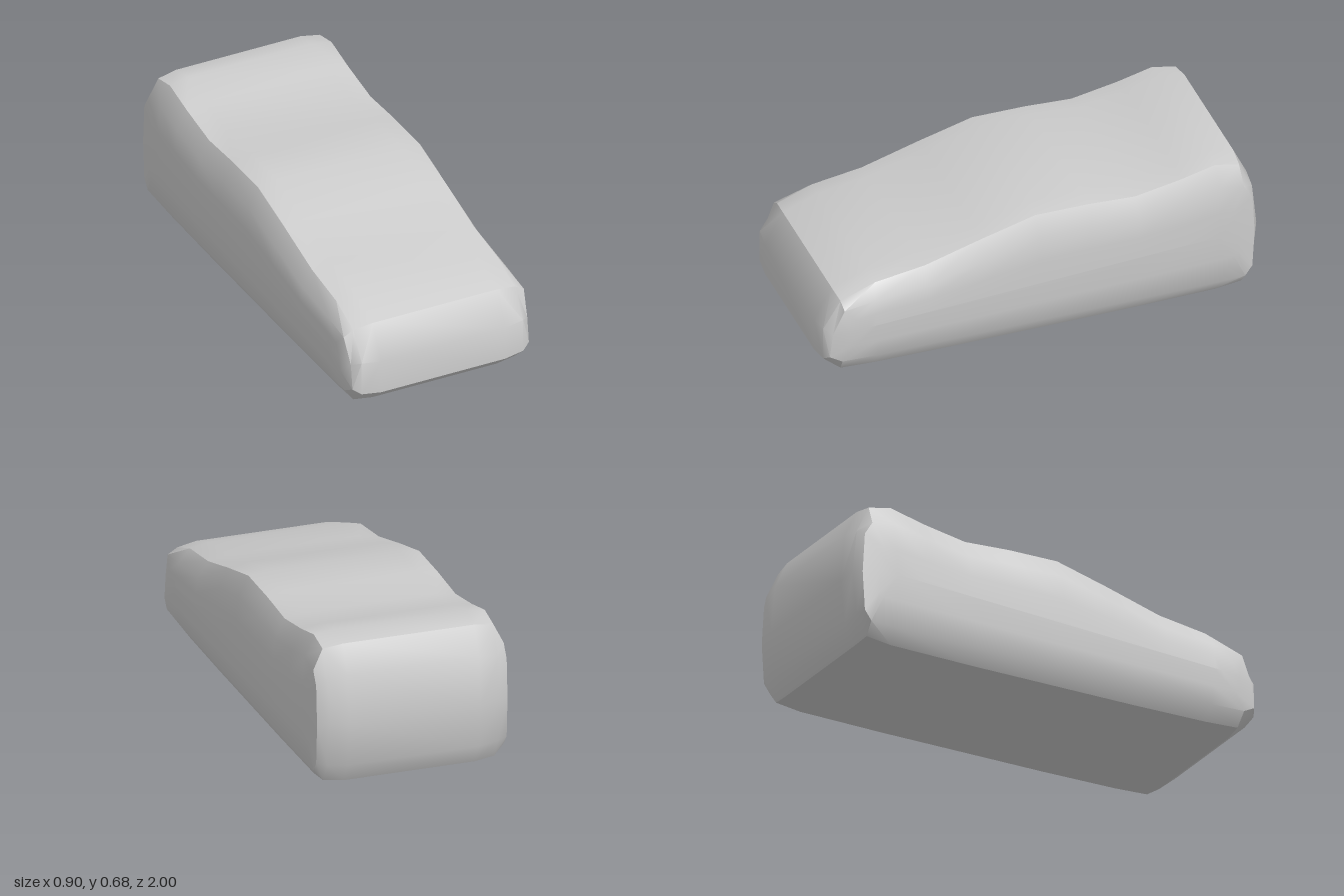
import * as THREE from 'three';
import { toCreasedNormals } from 'three/addons/utils/BufferGeometryUtils.js';

// Side profile, nose -> roof -> tail -> floor.
// Each row: z, y at the centre of the body, then z, y where it rounds into the flank.
const PROFILE = [
  [1, 0.08, 0.975, 0.115], [1, 0.235, 0.96, 0.23], [0.92, 0.385, 0.91, 0.345],
  [0.76, 0.445, 0.77, 0.365], [0.53, 0.478, 0.53, 0.385], [0.27, 0.552, 0.27, 0.45],
  [0.02, 0.617, 0.02, 0.512], [-0.22, 0.615, -0.22, 0.512], [-0.44, 0.603, -0.44, 0.502],
  [-0.65, 0.64, -0.65, 0.535], [-0.81, 0.678, -0.81, 0.57], [-0.92, 0.655, -0.92, 0.55],
  [-0.98, 0.53, -0.957, 0.49], [-1, 0.31, -0.968, 0.31], [-0.98, 0.11, -0.957, 0.13],
  [-0.93, 0.02, -0.925, 0.085], [-0.81, 0.005, -0.81, 0.08], [-0.4, 0, -0.4, 0.08],
  [0, 0, 0, 0.08], [0.4, 0, 0.4, 0.08], [0.76, 0.004, 0.76, 0.08], [0.92, 0.012, 0.92, 0.085],
];

const midY = (z) => 0.285 - 0.05 * z;

// Points of one half of the cross-section, from the middle of the flank inwards
function halfRib([z, y, z2, y2]) {
  const spineZ = THREE.MathUtils.clamp(z2, -0.8, 0.8);
  const innerZ = THREE.MathUtils.lerp(z2, spineZ, 0.45);
  const flankX = z2 > 0.95 ? 0.426 : 0.435;
  const edgeY = y > midY(z) ? y - 0.014 : y + 0.01;
  return [
    [0.449, midY(spineZ), spineZ],
    [0.446, THREE.MathUtils.lerp(y2, midY(innerZ), 0.5), innerZ],
    [flankX, y2, z2],
    [0.39, edgeY, z * 0.992],
    [0.3, y, z],
  ];
}

function bodyGeometry() {
  const positions = [];
  const index = [];
  const ribs = PROFILE.map((row) => {
    const half = halfRib(row);
    const mirrored = half.map(([x, y, z]) => [-x, y, z]).reverse();
    return [...half, ...mirrored];
  });
  const count = ribs[0].length;
  ribs.forEach((rib, i) => {
    const next = (i + 1) % ribs.length;
    rib.forEach((p, j) => {
      positions.push(...p);
      if (j === count - 1) return;
      const a = i * count + j;
      const b = next * count + j;
      // the ribs meet in a line at the flanks, so split the quad to suit each side
      if (j < count / 2) index.push(a, b, b + 1, a, b + 1, a + 1);
      else index.push(a, b, a + 1, b, b + 1, a + 1);
    });
  });
  const geometry = new THREE.BufferGeometry();
  geometry.setAttribute('position', new THREE.Float32BufferAttribute(positions, 3));
  geometry.setIndex(index);
  return toCreasedNormals(geometry, THREE.MathUtils.degToRad(36));
}

export function createModel() {
  const group = new THREE.Group();
  group.name = 'carBody';
  const material = new THREE.MeshStandardMaterial({ color: 0xcccccc });
  const shell = new THREE.Mesh(bodyGeometry(), material);
  shell.name = 'bodyShell';
  group.add(shell);
  return group;
}
